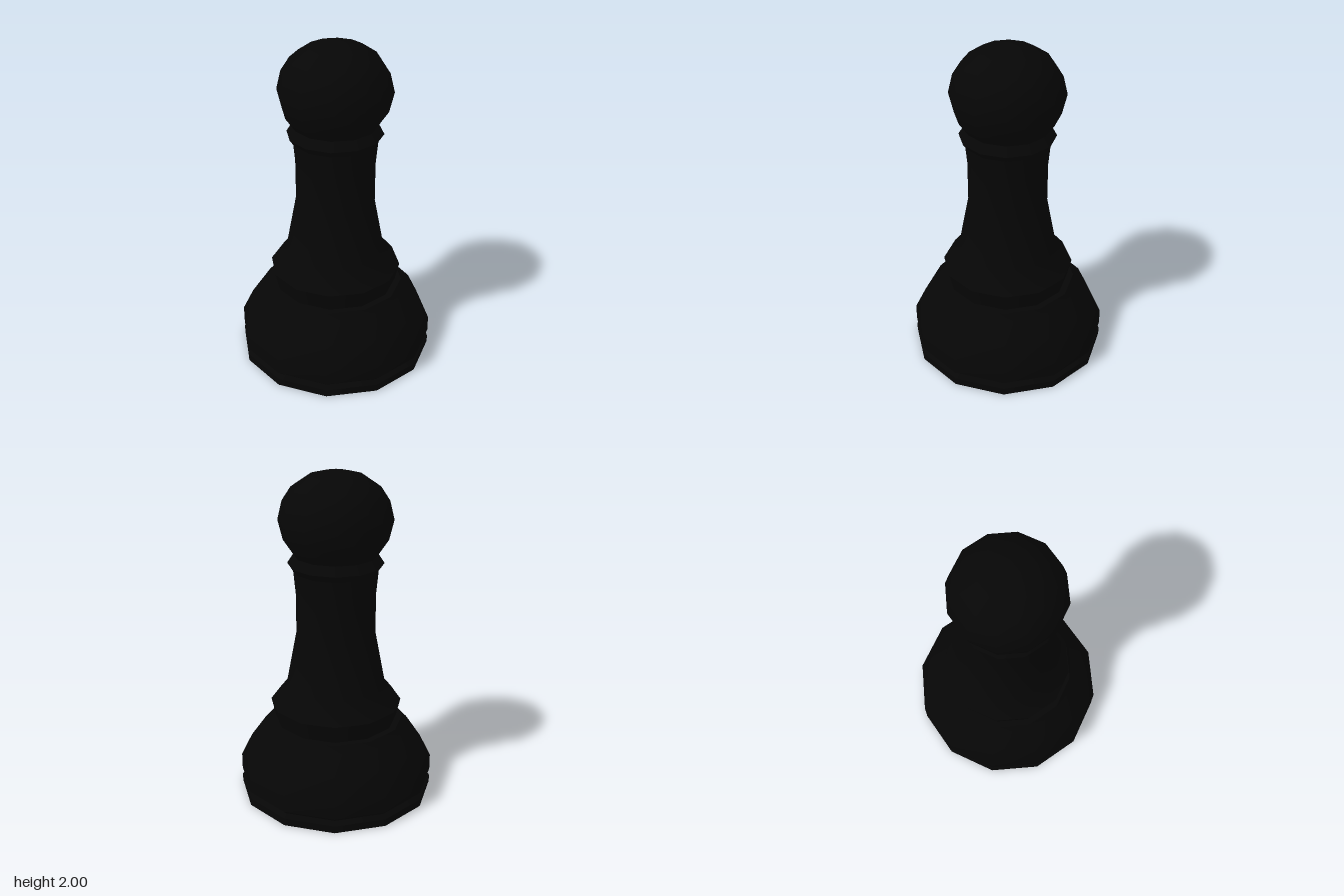
import * as THREE from 'three';

const SIDES = 12;

export function createModel() {
  const group = new THREE.Group();
  group.name = 'pawn';

  // Double-sided, as the piece is an open hollow shell
  const black = new THREE.MeshStandardMaterial({ color: 0x060606, side: THREE.DoubleSide });
  black.name = 'black';

  // Turned part from a profile of [radius, height] pairs, listed bottom to top
  function turned(name, profile) {
    const points = profile.map(([r, y]) => new THREE.Vector2(r, y));
    const mesh = new THREE.Mesh(new THREE.LatheGeometry(points, SIDES), black);
    mesh.name = name;
    group.add(mesh);
  }

  // Foot: open underneath, rim and groove
  turned('footRim', [[0.598, 0], [0.598, 0.045]]);
  turned('footGroove', [[0.598, 0.045], [0.572, 0.068]]);
  turned('footGrooveTop', [[0.572, 0.068], [0.598, 0.092]]);

  // Rounded base and its flat shoulder
  turned('base', [[0.598, 0.092], [0.598, 0.19], [0.53, 0.33], [0.44, 0.43], [0.415, 0.475]]);
  turned('baseShoulder', [[0.415, 0.475], [0.375, 0.475]]);

  // Flared skirt and tapering stem
  turned('skirt', [[0.375, 0.475], [0.4, 0.585]]);
  turned('stem', [[0.4, 0.585], [0.3, 0.705], [0.238, 1.03], [0.238, 1.27], [0.252, 1.42]]);

  // Collar
  turned('collarUnderside', [[0.252, 1.42], [0.262, 1.43], [0.285, 1.462]]);
  turned('collarTop', [[0.285, 1.462], [0.25, 1.515]]);

  // Ball head
  turned('head', [
    [0.25, 1.515], [0.308, 1.6], [0.337, 1.72], [0.31, 1.832],
    [0.258, 1.912], [0.165, 1.975], [0.065, 2], [0, 2],
  ]);

  return group;
}
